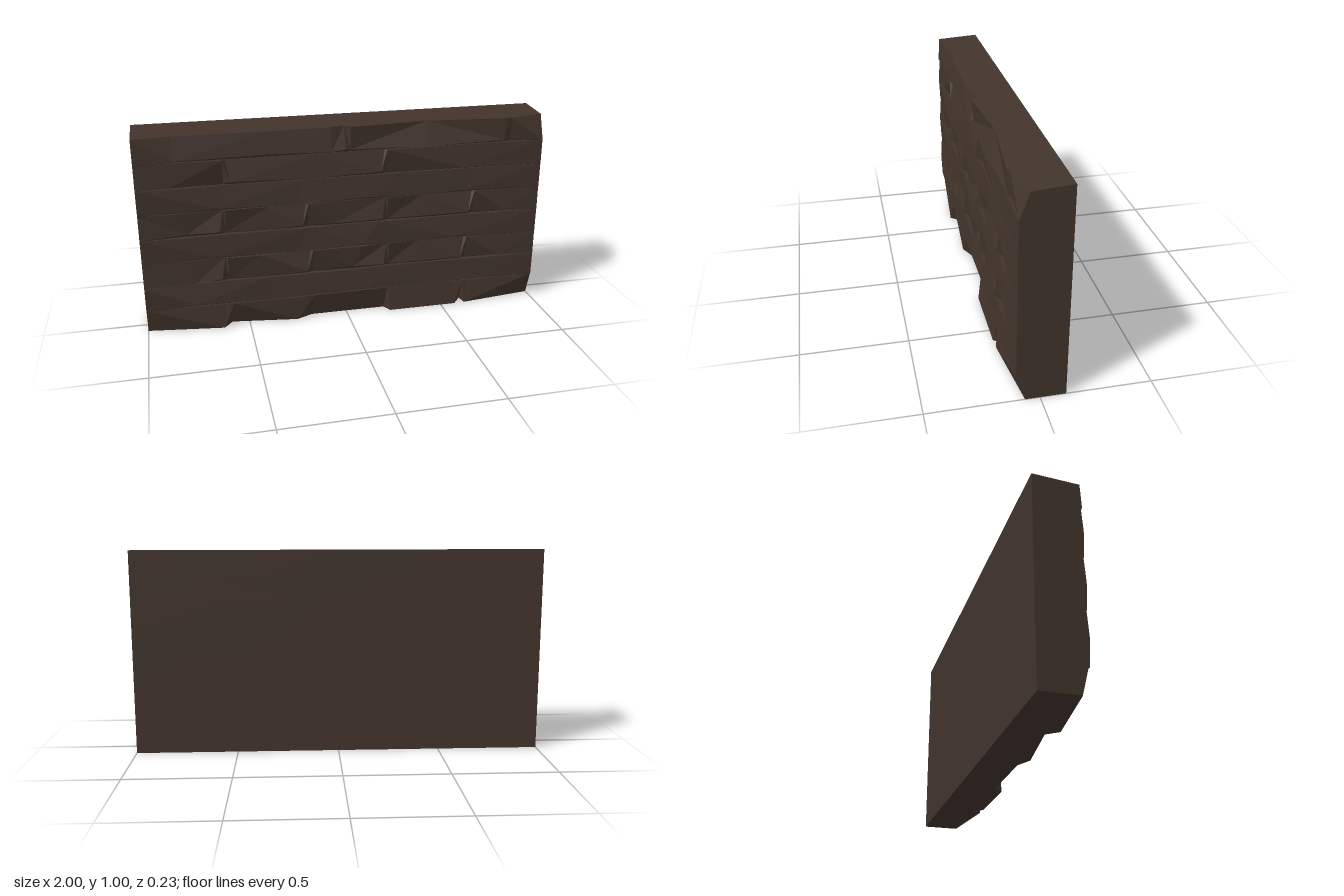
import * as THREE from 'three';

const BACK = -0.115;
const ROW_HEIGHT = 0.1235;

// Depth of the bottom outer edge: [x, z]
const BOTTOM_EDGE = [[-1, 0.066], [-0.63, 0.115], [-0.585, 0.061], [-0.26, 0.106], [-0.18, 0.069],
  [0.2, 0.07], [0.225, 0.115], [0.575, 0.115], [0.62, 0.06], [0.63, 0.112], [1, 0.066]];
// Top row: [x, z of the top edge, z of the lip]
const TOP_EDGE = [[-1, 0.1, 0.106], [-0.82, 0.082, 0.106], [-0.38, 0.09, 0.104], [-0.08, 0.085, 0.108],
  [-0.01, 0.062, 0.105], [0.015, 0.1, 0.09], [0.4, 0.067, 0.108], [0.8, 0.108, 0.104],
  [0.83, 0.1, 0.088], [1, 0.062, 0.107]];

// Joints of the rows made of short planks: x, and the side the step falls to
const JOINTS = {
  2: [[-0.61, 1], [-0.19, 1], [0.2, 1], [0.61, 1]],
  4: [[-0.61, 1], [-0.21, 1], [0.19, 1], [0.64, 1]],
  6: [[-0.58, -1], [0.18, 1]],
};

// Small seeded generator for the uneven hewn surface
function seeded(seed) {
  return () => {
    seed = (seed * 16807) % 2147483647;
    return seed / 2147483647;
  };
}

// One cross-section: back, groove, lip and top, with an optional sideways shift of the top
const section = (x, lip, groove, zLip, zTop, shift = 0) => ({ x, lip, groove, zLip, zTop, shift });

// Long planks: the lip swells and pinches in turn along the row
function longRow(random) {
  const list = [section(-1, 0.002, 0.1, 0.102, 0.108)];
  for (let i = 1; i < 6; i++) {
    const swell = i % 2 ? 1 : 0.2;
    list.push(section(i / 3 - 1 + (random() - 0.5) * 0.25, 0.014 * swell, 0.088,
      0.102 + 0.009 * swell, 0.092 + random() * 0.014, (random() - 0.5) * 0.2));
  }
  list.push(section(1, 0.002, 0.105, 0.107, 0.107));
  return list;
}

// Short planks: a raised corner and a sunken one at every joint, tilted facets between them
function jointedRow(joints, random) {
  const list = [section(-1, 0.003, 0.103, 0.108, 0.1), section(1, 0.003, 0.105, 0.108, 0.106)];
  let from = -1;
  for (const [x, side] of joints) {
    list.push(section(x - side * 0.016, 0.018, 0.086, 0.113, 0.09, side * 0.02));
    list.push(section(x + side * 0.016, 0.004, 0.078, 0.08, 0.104));
    const tilt = random() * 0.02;
    list.push(section(from + (x - from) * (0.35 + random() * 0.3), 0.004 + random() * 0.012, 0.086,
      0.109 - tilt * 0.6, 0.089 + tilt, (random() - 0.5) * 0.12));
    from = x;
  }
  list.push(section((from + 1) / 2, 0.008, 0.088, 0.107, 0.098, -0.05));
  return list.sort((a, b) => a.x - b.x);
}

function bottomRow(random) {
  return BOTTOM_EDGE.map(([x, z]) => section(x, 0, z, z, 0.096 + random() * 0.01,
    Math.abs(x) === 1 ? 0 : (random() - 0.5) * 0.03));
}

function topRow(random) {
  return TOP_EDGE.map(([x, zTop, zLip]) => section(x, Math.abs(x) === 1 ? 0.002 : 0.004 + random() * 0.012,
    Math.abs(x) === 1 ? 0.104 : 0.086, zLip, zTop));
}

// Loft a plank row through its cross-sections and cap both ends
function plankGeometry(list, y0, y1, topBack) {
  const loops = list.map(({ x, lip, groove, zLip, zTop, shift }) => [
    [x, y0, BACK], [x, y0, groove], [x, y0 + lip, zLip], [x + shift, y1, zTop], [x, topBack, BACK],
  ]);
  const pos = [];
  const tri = (a, b, c) => pos.push(...a, ...b, ...c);
  for (let i = 0; i < loops.length - 1; i++) {
    const p = loops[i], q = loops[i + 1];
    for (let k = 0; k < 5; k++) {
      const n = (k + 1) % 5;
      if (i % 2) { tri(p[k], q[k], q[n]); tri(p[k], q[n], p[n]); }
      else { tri(p[k], q[k], p[n]); tri(q[k], q[n], p[n]); }
    }
  }
  const first = loops[0], last = loops[loops.length - 1];
  for (let k = 1; k < 4; k++) {
    tri(first[0], first[k], first[k + 1]);
    tri(last[0], last[k + 1], last[k]);
  }
  const geometry = new THREE.BufferGeometry();
  geometry.setAttribute('position', new THREE.Float32BufferAttribute(pos, 3));
  geometry.computeVertexNormals();
  return geometry;
}

export function createModel() {
  const group = new THREE.Group();
  group.name = 'plankWall';
  const wood = new THREE.MeshStandardMaterial({ color: 0x42342c, flatShading: true });
  wood.name = 'dark brown wood';
  const random = seeded(41);
  for (let i = 0; i < 8; i++) {
    let list;
    if (i === 0) list = bottomRow(random);
    else if (i === 7) list = topRow(random);
    else list = JOINTS[i] ? jointedRow(JOINTS[i], random) : longRow(random);
    const y0 = i * ROW_HEIGHT;
    const y1 = i === 7 ? 0.987 : y0 + ROW_HEIGHT;
    const mesh = new THREE.Mesh(plankGeometry(list, y0, y1, i === 7 ? 1 : y1), wood);
    mesh.name = `plankRow${i + 1}`;
    group.add(mesh);
  }
  return group;
}
